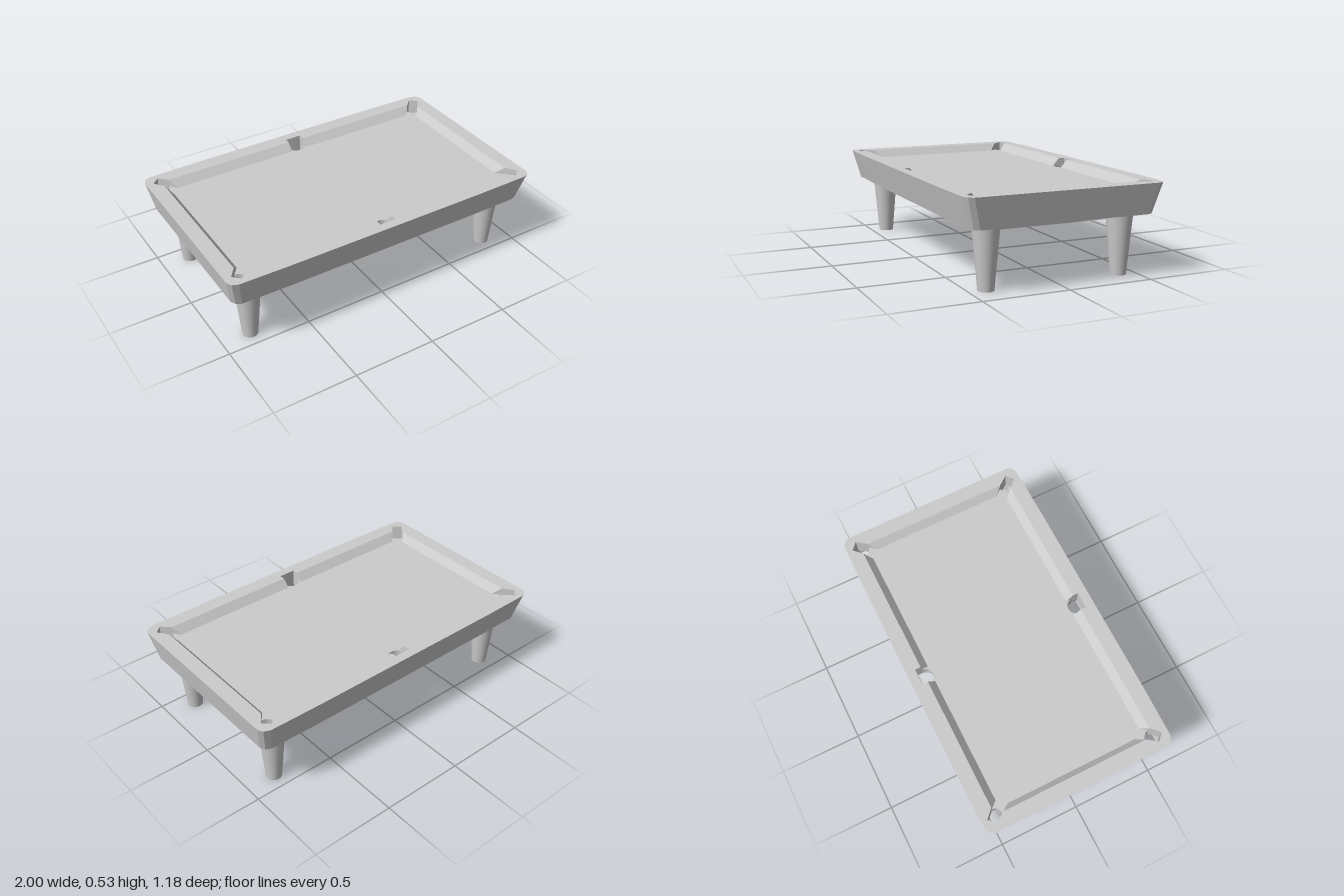
import * as THREE from 'three';

const TOP = 0.53, BED = 0.485, BASE = 0.355, POCKET = 0.42;
const QUADS = [[1, 1], [-1, 1], [-1, -1], [1, -1]];
const grey = new THREE.MeshStandardMaterial({ color: 0xcccccc, flatShading: true, side: THREE.DoubleSide });
const smooth = new THREE.MeshStandardMaterial({ color: 0xcccccc });

// Mirror a quadrant outline (from +x round to +z) into a closed ring
function ring(points) {
  const all = QUADS.flatMap(([sx, sz]) => {
    const q = points.map(([x, z]) => [x * sx, z * sz]);
    return sx * sz < 0 ? q.reverse() : q;
  });
  return all.filter((p, i) => {
    const o = all[(i + all.length - 1) % all.length];
    return Math.hypot(p[0] - o[0], p[1] - o[1]) > 1e-5;
  });
}

const at = (points, y) => points.map(([x, z]) => [x, y, z]);
const flip = (points, sx, sz) => {
  const m = points.map(([x, y, z]) => [x * sx, y, z * sz]);
  return sx * sz < 0 ? m.reverse() : m;
};

// Wall of quads between an upper and a lower line of points
function strip(name, upper, lower) {
  const pos = [];
  for (let i = 0; i < upper.length - 1; i++) {
    const [a, b, c, d] = [upper[i], upper[i + 1], lower[i], lower[i + 1]];
    pos.push(...c, ...a, ...b, ...c, ...b, ...d);
  }
  const geo = new THREE.BufferGeometry();
  geo.setAttribute('position', new THREE.Float32BufferAttribute(pos, 3));
  geo.computeVertexNormals();
  const mesh = new THREE.Mesh(geo, grey);
  mesh.name = name;
  return mesh;
}

// Horizontal face at height y, with an optional hole
function plate(name, outline, y, hole) {
  const vec = (r) => r.map(([x, z]) => new THREE.Vector2(x, -z));
  const shape = new THREE.Shape(vec(outline));
  if (hole) shape.holes.push(new THREE.Path(vec(hole)));
  const mesh = new THREE.Mesh(new THREE.ShapeGeometry(shape).rotateX(-Math.PI / 2), grey);
  mesh.position.y = y;
  mesh.name = name;
  return mesh;
}

export function createModel() {
  const table = new THREE.Group();
  table.name = 'poolTable';

  // Quadrant outlines
  const outerTop = [[1, 0.54], [0.985, 0.57], [0.95, 0.585], [0.62, 0.59]];
  const outerBase = [[0.965, 0.495], [0.95, 0.525], [0.92, 0.54], [0.62, 0.545]];
  const cornerBack = [[0.912, 0.45], [0.957, 0.51], [0.915, 0.55], [0.865, 0.5]];
  const cornerArc = [[0.865, 0.5], [0.868, 0.48], [0.885, 0.46], [0.912, 0.45]];
  const sideBack = [[0.05, 0.5], [0.05, 0.535], [0, 0.535]];
  const sideArc = [];
  for (let i = 0; i <= 5; i++) {
    const a = (i / 5) * Math.PI / 2;
    sideArc.push([0.05 * Math.cos(a), 0.5 - 0.053 * Math.sin(a)]);
  }
  const endFoot = [0.875, 0.405], cornerFoot = [0.83, 0.457], sideFoot = [0.05, 0.457];

  // Tapered outer frame, open underneath
  const close = (r) => [...r, r[0]];
  table.add(strip('frame', at(close(ring(outerTop)), TOP), at(close(ring(outerBase)), BASE)));

  // Rim with pocket notches, and the playing bed
  table.add(plate('rim', ring(outerTop), TOP, ring([...cornerBack, ...sideBack])));
  const bedOutline = [endFoot, ...[...cornerArc].reverse(), cornerFoot, sideFoot, ...sideArc];
  table.add(plate('bed', ring(bedOutline), BED));

  for (const [sx, sz] of QUADS) {
    const wall = (name, up, upY, low, lowY) => table.add(strip(name,
      flip(at(up, upY), sx, sz).reverse(), flip(at(low, lowY), sx, sz).reverse()));

    // Sloping cushions, with the small cheeks that close their ends
    const endRim = cornerBack[0], cornerRim = cornerBack[3], sideRim = sideBack[0];
    wall('endCushion', [[endRim[0], 0], endRim], TOP, [[endFoot[0], 0], endFoot], BED);
    wall('longCushion', [cornerRim, sideRim], TOP, [cornerFoot, sideFoot], BED);
    wall('cushionCheek', [endRim, endRim], TOP, [endFoot, endRim], BED);
    wall('cushionCheek', [cornerRim, cornerRim], TOP, [cornerRim, cornerFoot], BED);
    wall('cushionCheek', [sideRim, sideRim], TOP, [sideFoot, sideRim], BED);

    // Open pocket tubes
    wall('cornerPocketBack', cornerBack, TOP, cornerBack, POCKET);
    wall('cornerPocketFront', cornerArc, BED, cornerArc, POCKET);
    wall('sidePocketBack', sideBack, TOP, sideBack, POCKET);
    const arc = [...sideArc].reverse();
    wall('sidePocketFront', arc, BED, arc, POCKET);

    // Tapered round leg reaching up to the bed
    const height = BED - 0.005;
    const leg = new THREE.Mesh(new THREE.CylinderGeometry(0.088, 0.045, height, 32), smooth);
    leg.position.set(sx * 0.822, height / 2, sz * 0.402);
    leg.name = 'leg';
    table.add(leg);
  }
  return table;
}
